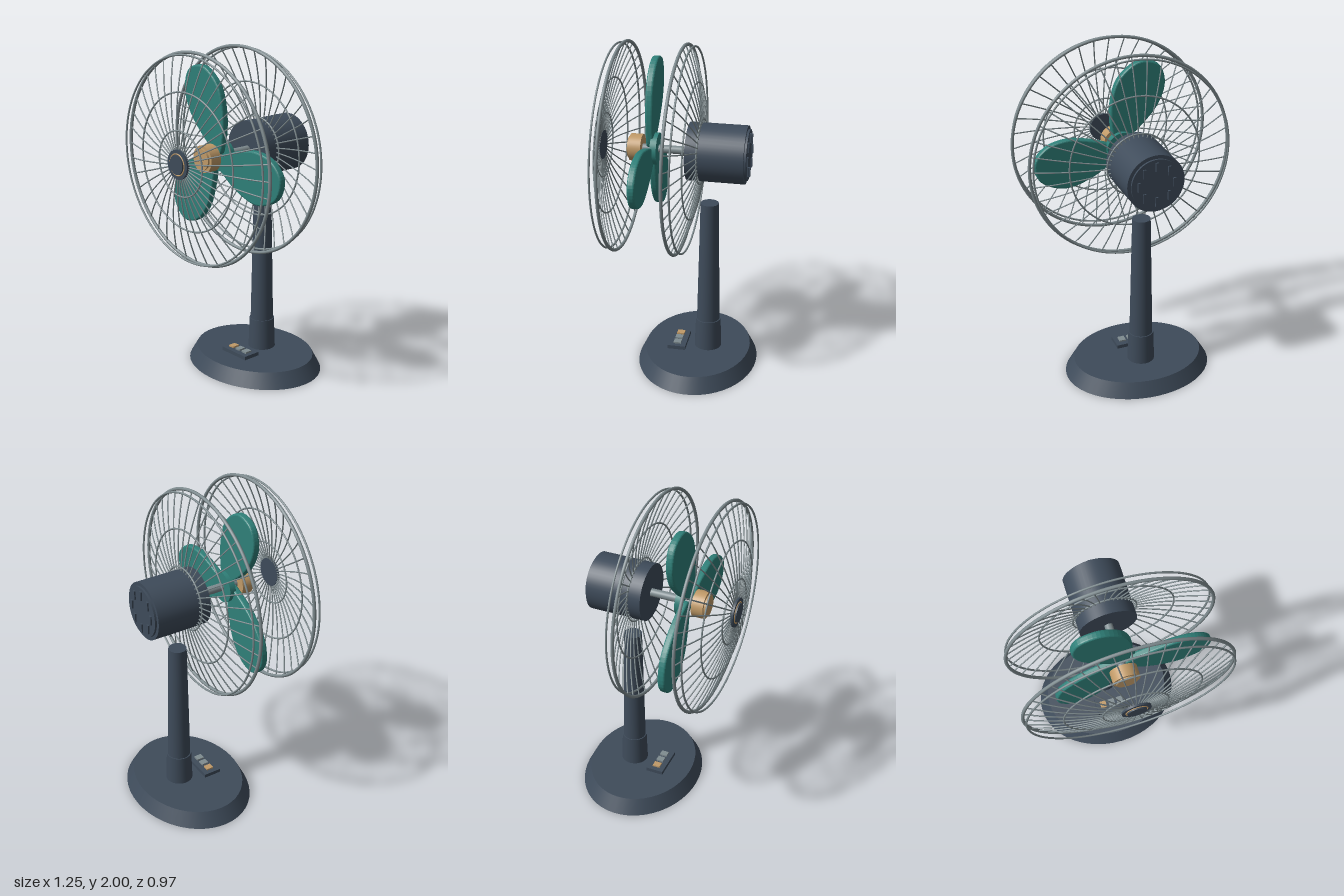
import * as THREE from 'three';

const paint = (name, color) => {
  const m = new THREE.MeshStandardMaterial({ color });
  m.name = name;
  return m;
};

const AXIS_Y = 1.377; // height of the fan axis

export function createModel() {
  const navy = paint('navy body', 0x3e4b5a);
  const teal = paint('teal blade', 0x2f8079);
  const tan = paint('tan accent', 0xc09a68);
  const grey = paint('grey metal', 0x7f8c90);

  const root = new THREE.Group();
  root.name = 'deskFan';

  const add = (parent, name, geometry, material, x = 0, y = 0, z = 0) => {
    const mesh = new THREE.Mesh(geometry, material);
    mesh.name = name;
    mesh.position.set(x, y, z);
    parent.add(mesh);
    return mesh;
  };
  // Upright tapered cylinder between two heights
  const post = (name, rTop, rBottom, y0, y1, z, material) =>
    add(root, name, new THREE.CylinderGeometry(rTop, rBottom, y1 - y0, 48), material, 0, (y0 + y1) / 2, z);

  // Base and column
  post('base', 0.4, 0.455, 0, 0.09, -0.12, navy).scale.z = 0.805;
  post('columnSleeve', 0.076, 0.083, 0.09, 0.28, -0.182, navy);
  post('column', 0.054, 0.07, 0.28, 1.056, -0.182, navy);

  // Control panel with three buttons
  add(root, 'controlPanel', new THREE.BoxGeometry(0.212, 0.024, 0.11), navy, 0, 0.101, 0);
  [-0.057, 0, 0.057].forEach((x, i) =>
    add(root, 'button', new THREE.BoxGeometry(0.04, 0.016, 0.046), i ? grey : tan, x, 0.115, 0));

  // Head: everything centred on the fan axis
  const head = new THREE.Group();
  head.name = 'head';
  head.position.y = AXIS_Y;
  root.add(head);
  const drum = (name, r, z0, z1, material) =>
    add(head, name, new THREE.CylinderGeometry(r, r, z1 - z0, 48).rotateX(Math.PI / 2), material, 0, 0, (z0 + z1) / 2);

  // Motor housing with a ring of rear vents
  drum('motorHousing', 0.171, -0.398, -0.058, navy);
  drum('motorBackPlate', 0.15, -0.41, -0.398, navy);
  for (let i = 0; i < 8; i++) {
    const a = (i * Math.PI) / 4;
    add(head, 'motorVent', new THREE.BoxGeometry(0.018, 0.055, 0.012), navy,
      Math.cos(a) * 0.105, Math.sin(a) * 0.105, -0.413);
  }

  // Shaft, hub and nose
  drum('shaft', 0.024, -0.06, 0.225, grey);
  drum('hub', 0.094, 0.122, 0.16, teal);
  drum('nose', 0.08, 0.218, 0.289, tan);
  drum('noseTip', 0.063, 0.289, 0.301, tan);

  // Three swept blades with rounded edges
  const outline = [[0.03, 0.0], [0.1, 0.035], [0.21, 0.07], [0.33, 0.088], [0.46, 0.056], [0.535, -0.035],
    [0.5, -0.155], [0.355, -0.22], [0.2, -0.186], [0.06, -0.1], [0.0, -0.04]];
  const curve = new THREE.CatmullRomCurve3(outline.map(([x, y]) => new THREE.Vector3(x, y, 0)), true);
  const bladeShape = new THREE.Shape(curve.getPoints(64).slice(0, -1).map((p) => new THREE.Vector2(p.x, p.y)));
  const bladeGeometry = new THREE.ExtrudeGeometry(bladeShape, {
    depth: 0.02, bevelThickness: 0.012, bevelSize: 0.01, bevelOffset: -0.01, bevelSegments: 3, curveSegments: 1,
  });
  for (let i = 0; i < 3; i++) {
    add(head, 'blade', bladeGeometry, teal, 0, 0, 0.158).rotation.z = (i * Math.PI * 2) / 3;
  }

  // Guards: domed cages of spokes and rings, front and rear mirrored
  const DOME = 0.125, R = 0.613, SPOKES = 40;
  const domeZ = (r) => DOME * (1 - (r / R) ** 2);
  const spokePath = new THREE.CatmullRomCurve3(
    [0.06, 0.19, 0.32, 0.45, 0.54, R].map((r) => new THREE.Vector3(r, 0, domeZ(r))));
  const spokeGeometry = new THREE.TubeGeometry(spokePath, 14, 0.004, 6);
  const rings = [[R, 0, 0.01], [0.603, 0.042, 0.006], [0.4, domeZ(0.4), 0.005], [0.19, domeZ(0.19), 0.005]];

  const guard = (name, z, turn) => {
    const g = new THREE.Group();
    g.name = name;
    g.position.z = z;
    g.rotation.y = turn;
    head.add(g);
    for (const [r, ringZ, tube] of rings) {
      add(g, 'guardRing', new THREE.TorusGeometry(r, tube, 8, 96), grey, 0, 0, ringZ);
    }
    for (let i = 0; i < SPOKES; i++) {
      add(g, 'guardSpoke', spokeGeometry, grey).rotation.z = (i * Math.PI * 2) / SPOKES;
    }
  };
  guard('frontGuard', 0.337, 0);
  guard('rearGuard', -0.018, Math.PI);

  // Centre badge of the front guard
  drum('guardCap', 0.086, 0.455, 0.473, navy);
  drum('guardCapCentre', 0.056, 0.473, 0.482, navy);
  add(head, 'guardCapTrim', new THREE.TorusGeometry(0.062, 0.004, 8, 48), tan, 0, 0, 0.473);

  return root;
}
